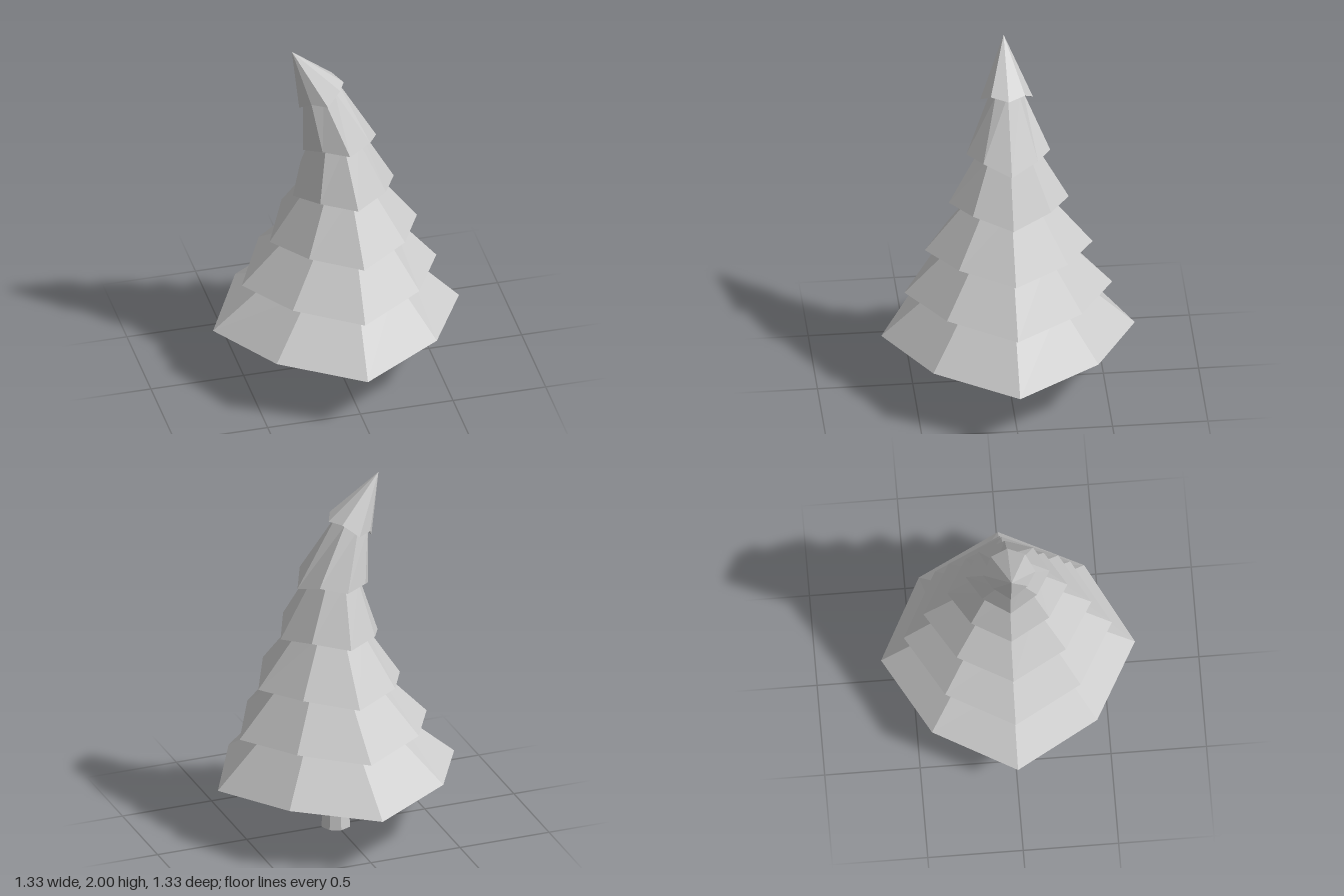
import * as THREE from 'three';

const SIDES = 8;
const material = new THREE.MeshStandardMaterial({ color: 0xcccccc, flatShading: true });

// Octagonal ring: x extents, z half width, heights at left / middle / right.
// Drooping rims pull their diagonal corners inward and upward.
function ring(xl, xr, rz, yl, ym, yr, droop = false) {
  const cx = (xl + xr) / 2, rx = (xr - xl) / 2;
  const height = (k) => [yr, ym, yl, ym][k % 4];
  return Array.from({ length: SIDES }, (_, i) => {
    const a = (i / SIDES) * Math.PI * 2;
    const diagonal = i % 2 === 1, k = Math.floor(i / 2);
    const s = diagonal && droop ? 0.92 : 1;
    const y = diagonal ? (height(k) + height(k + 1)) / 2 + (droop ? 0.035 : 0) : height(k);
    return [cx + rx * s * Math.cos(a), y, rz * s * Math.sin(a)];
  });
}
const rim = (...v) => ring(...v, true);
const point = (x, y) => ring(x, x, 0, y, y, y);

// Faceted skin joining a list of rings from bottom to top
function skin(rings, name) {
  const pos = [];
  for (let r = 0; r < rings.length - 1; r++) {
    for (let i = 0; i < SIDES; i++) {
      const j = (i + 1) % SIDES;
      const [a, b, c, d] = [rings[r][i], rings[r][j], rings[r + 1][i], rings[r + 1][j]];
      pos.push(...a, ...c, ...b, ...b, ...c, ...d);
    }
  }
  const geo = new THREE.BufferGeometry();
  geo.setAttribute('position', new THREE.Float32BufferAttribute(pos, 3));
  geo.computeVertexNormals();
  const mesh = new THREE.Mesh(geo, material);
  mesh.name = name;
  return mesh;
}

export function createModel() {
  const tree = new THREE.Group();
  tree.name = 'bentFirTree';

  // Flared trunk
  const profile = [[0, 0], [0.08, 0], [0.056, 0.23], [0.06, 0.37]].map((p) => new THREE.Vector2(...p));
  const trunk = new THREE.Mesh(new THREE.LatheGeometry(profile, SIDES), material);
  trunk.name = 'trunk';
  tree.add(trunk);

  // Drooping outer rim of each branch tier
  const rims = [
    rim(-0.665, 0.662, 0.665, 0.31, 0.31, 0.31),
    rim(-0.51, 0.54, 0.545, 0.57, 0.585, 0.585),
    rim(-0.36, 0.435, 0.44, 0.82, 0.86, 0.855),
    rim(-0.235, 0.31, 0.315, 1.09, 1.15, 1.125),
    rim(-0.18, 0.215, 0.22, 1.37, 1.435, 1.4),
    rim(-0.2, 0.04, 0.138, 1.64, 1.71, 1.76),
  ];
  // Narrow neck where each tier meets the one above
  const necks = [
    ring(-0.31, 0.36, 0.35, 0.62, 0.63, 0.63),
    ring(-0.21, 0.28, 0.27, 0.89, 0.9, 0.9),
    ring(-0.14, 0.2, 0.2, 1.16, 1.17, 1.17),
    ring(-0.12, 0.13, 0.15, 1.44, 1.45, 1.45),
    ring(-0.18, 0, 0.09, 1.69, 1.73, 1.78),
    point(-0.24, 2),
  ];
  const underside = [point(0, 0.36), ring(-0.45, 0.45, 0.45, 0.345, 0.345, 0.345)];

  // Each tier runs from its underside, round the rim, up to its neck
  rims.forEach((edge, i) => {
    const below = i === 0 ? underside : [necks[i - 1]];
    tree.add(skin([...below, edge, necks[i]], i === 5 ? 'bentTip' : `branchTier${i + 1}`));
  });
  return tree;
}
